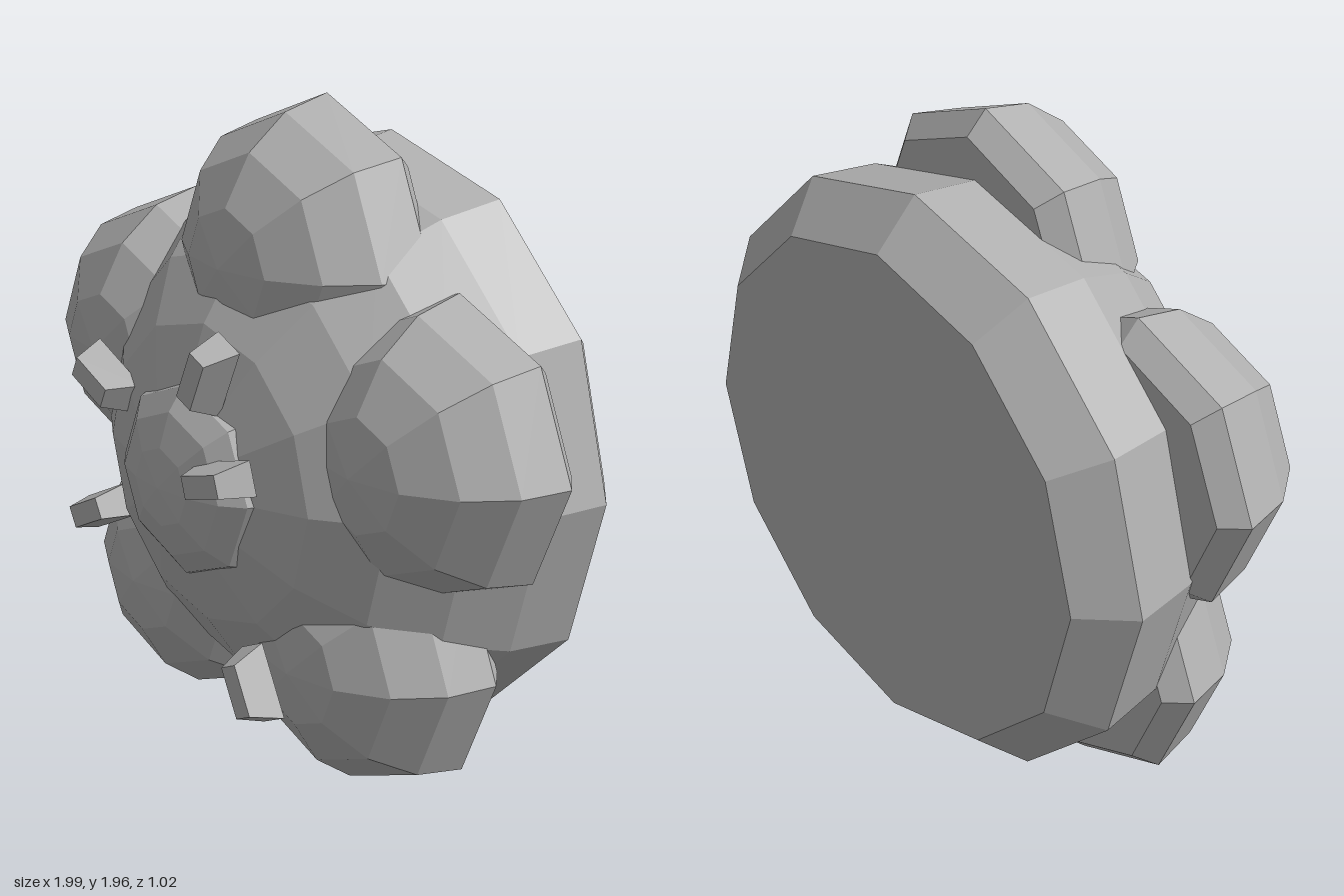
import * as THREE from 'three';

const stone = new THREE.MeshStandardMaterial({ color: 0xb0b0b0, flatShading: true });
stone.name = 'grey stone';

// Faceted dome facing +z: half ellipsoid in front of z, bevelled to a flat back.
function dome(name, { x, y, z, radius, height, sides, rings, backRadius, backDepth }) {
  const points = [new THREE.Vector2(0, -backDepth), new THREE.Vector2(backRadius, -backDepth)];
  for (let i = 0; i <= rings; i++) {
    const a = (i / rings) * Math.PI / 2;
    points.push(new THREE.Vector2(i === rings ? 0 : radius * Math.cos(a), height * Math.sin(a)));
  }
  const geometry = new THREE.LatheGeometry(points, sides).rotateX(Math.PI / 2);
  const mesh = new THREE.Mesh(geometry, stone);
  mesh.name = name;
  mesh.position.set(x, y, z);
  return mesh;
}

// Small block that narrows towards the front.
function shard(x, y, z, degrees) {
  const geometry = new THREE.BoxGeometry(0.22, 0.1, 0.1);
  const p = geometry.attributes.position;
  for (let i = 0; i < p.count; i++) {
    if (p.getZ(i) > 0) p.setXY(i, p.getX(i) * 0.68, p.getY(i) * 0.65);
  }
  const mesh = new THREE.Mesh(geometry, stone);
  mesh.name = 'shard';
  mesh.position.set(x, y, z);
  mesh.rotation.z = THREE.MathUtils.degToRad(degrees);
  return mesh;
}

export function createModel() {
  const model = new THREE.Group();
  model.name = 'lobedRock';

  // Large body and the shallow boss at its middle
  model.add(dome('body', {
    x: -0.01, y: 0.94, z: -0.38, radius: 0.88, height: 0.79,
    sides: 12, rings: 6, backRadius: 0.75, backDepth: 0.13,
  }));
  model.add(dome('centreBoss', {
    x: -0.01, y: 0.94, z: 0.32, radius: 0.3, height: 0.155,
    sides: 8, rings: 4, backRadius: 0.25, backDepth: 0.03,
  }));

  // Five lobes around the rim
  const lobes = [[0.02, 1.535], [0.56, 1.085], [0.31, 0.435], [-0.4, 0.48], [-0.57, 1.16]];
  for (const [x, y] of lobes) {
    model.add(dome('lobe', {
      x, y, z: -0.11, radius: 0.432, height: 0.39,
      sides: 8, rings: 4, backRadius: 0.37, backDepth: 0.065,
    }));
  }

  // Loose shards around the boss
  const shards = [
    [-0.4, 1.135, 0.37, -25], [0.125, 1.28, 0.41, 66], [0.225, 1.02, 0.46, 17],
    [-0.515, 0.685, 0.315, 27], [0.215, 0.375, 0.335, -64],
  ];
  for (const s of shards) model.add(shard(...s));

  return model;
}
